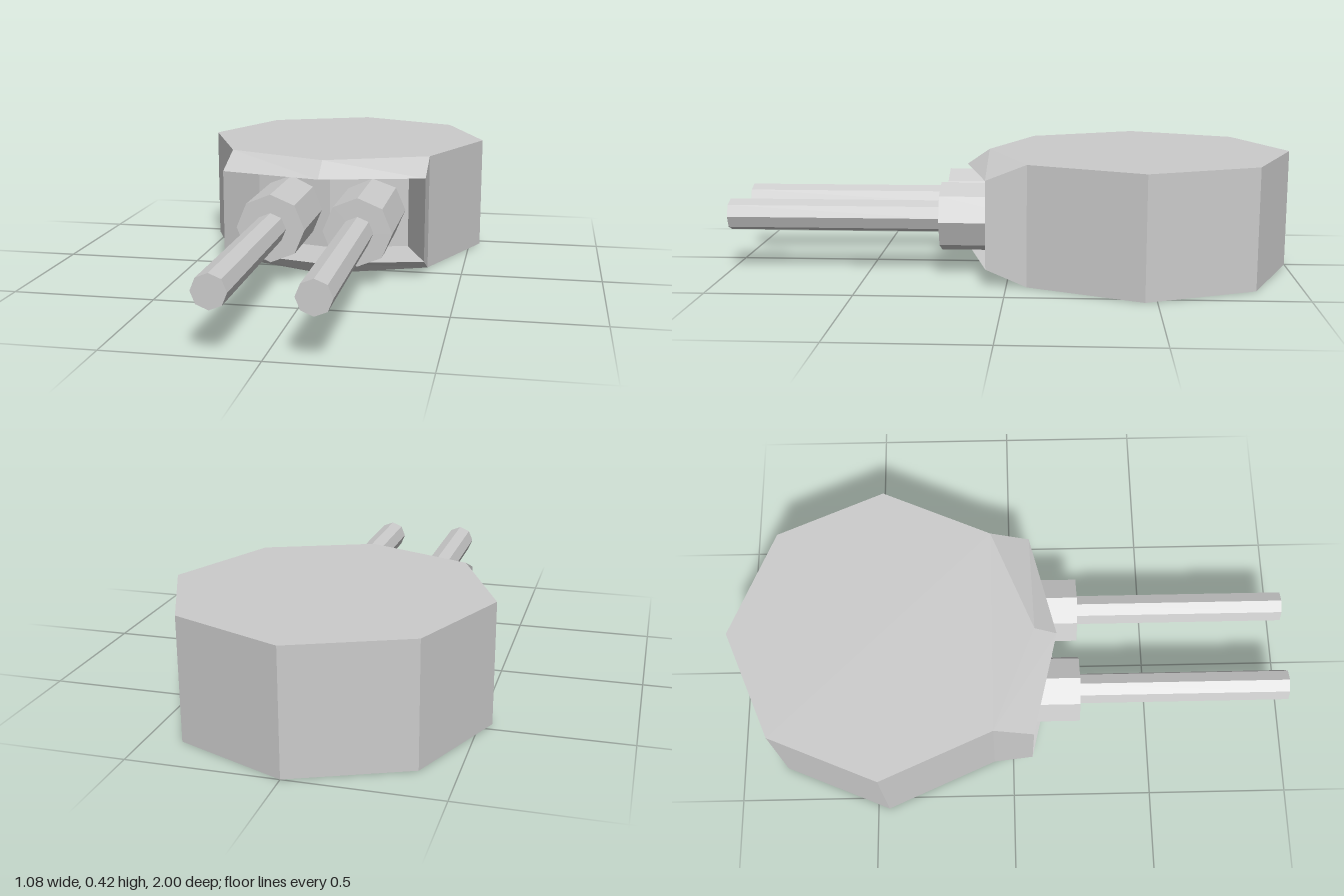
import * as THREE from 'three';

const H = 0.42, LIP_TOP = 0.365, LIP_BOTTOM = 0.06;
const material = new THREE.MeshStandardMaterial({ color: 0xcccccc, flatShading: true });

// Collects flat polygons (counter-clockwise corners) into one geometry
function polygonBuilder() {
  const positions = [];
  return {
    poly(...pts) {
      for (let i = 1; i < pts.length - 1; i++) {
        positions.push(...pts[0], ...pts[i], ...pts[i + 1]);
      }
    },
    build() {
      const g = new THREE.BufferGeometry();
      g.setAttribute('position', new THREE.Float32BufferAttribute(positions, 3));
      g.computeVertexNormals();
      return g;
    },
  };
}

function housingGeometry() {
  const { poly, build } = polygonBuilder();

  // Octagonal outline as [x, z], from the front right corner round the back
  const half = [[0.37, -0.07], [0.54, -0.46], [0.38, -0.84]];
  const outline = [...half, [0, -1], ...half.map(([x, z]) => [-x, z]).reverse()];
  const at = (y) => ([x, z]) => [x, y, z];

  // Roof and floor
  const full = [...outline, [0, 0.08]];
  poly(...full.map(at(H)));
  poly(...full.map(at(0)).reverse());

  // Side and rear walls
  for (let i = 0; i < outline.length - 1; i++) {
    const p = outline[i], q = outline[i + 1];
    poly(at(H)(p), at(0)(p), at(0)(q), at(H)(q));
  }

  // Front columns, top to bottom: roof edge, upper lip, recess back, lower lip, floor edge
  const column = (x, zEdge, zLip, xBack, zBack) => [
    [x, H, zEdge], [x, LIP_TOP, zLip], [xBack, LIP_TOP, zBack],
    [xBack, LIP_BOTTOM, zBack], [x, LIP_BOTTOM, zLip], [x, 0, zEdge],
  ];
  const left = column(-0.37, -0.07, 0.07, -0.287, -0.14);
  const middle = column(0, 0.08, 0.16, 0, -0.07);
  const right = column(0.37, -0.07, 0.07, 0.287, -0.14);
  for (const [a, b] of [[left, middle], [middle, right]]) {
    for (let i = 0; i < 5; i++) poly(a[i], a[i + 1], b[i + 1], b[i]);
  }

  // Cheek plates and inner walls of the recess
  const pick = (col, ids) => ids.map((i) => col[i]);
  for (const ids of [[1, 4, 5, 0], [2, 3, 4, 1]]) {
    poly(...pick(right, ids));
    poly(...pick(left, [...ids].reverse()));
  }
  return build();
}

// Eight-sided rod along z with a corner pointing up
function rod(name, radius, z0, z1) {
  const g = new THREE.CylinderGeometry(radius, radius, z1 - z0, 8);
  g.rotateX(Math.PI / 2);
  g.translate(0, 0, (z0 + z1) / 2);
  const mesh = new THREE.Mesh(g, material);
  mesh.name = name;
  return mesh;
}

export function createModel() {
  const model = new THREE.Group();
  model.name = 'turret';

  const housing = new THREE.Mesh(housingGeometry(), material);
  housing.name = 'housing';
  model.add(housing);

  // Twin guns
  for (const side of [-1, 1]) {
    const gun = new THREE.Group();
    gun.name = side > 0 ? 'leftGun' : 'rightGun';
    gun.add(rod('barrelSleeve', 0.122, -0.16, 0.24), rod('barrel', 0.056, 0.22, 1));
    gun.position.set(side * 0.154, 0.2, 0);
    model.add(gun);
  }
  return model;
}
